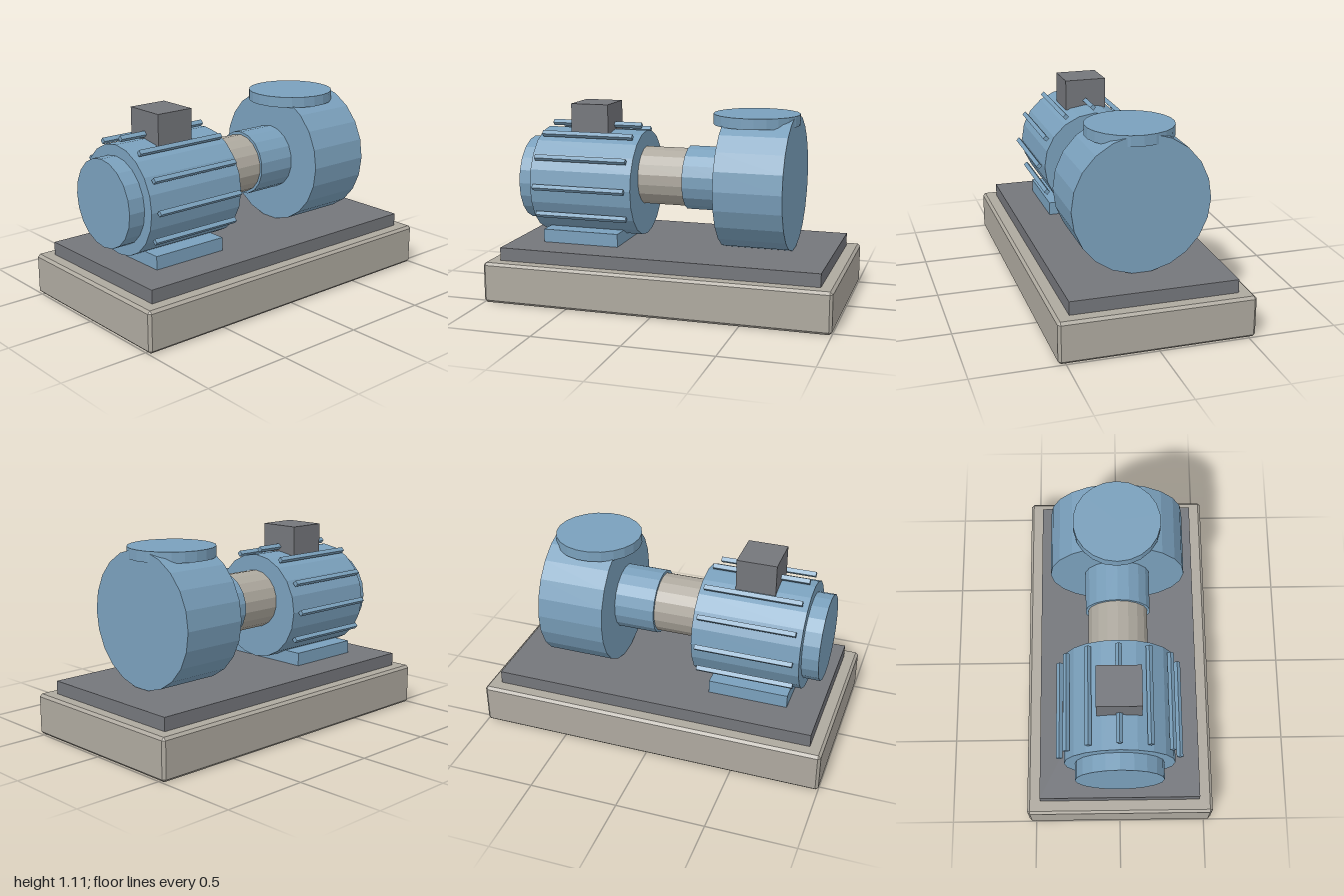
import * as THREE from 'three';
import { ConvexGeometry } from 'three/addons/geometries/ConvexGeometry.js';

export function createModel() {
  const model = new THREE.Group();
  model.name = 'pumpSet';

  const material = (name, color) => {
    const m = new THREE.MeshStandardMaterial({ color, flatShading: true });
    m.name = name;
    return m;
  };
  const blue = material('machineBlue', 0x7aa0bc);
  const grey = material('steelGrey', 0x74767b);
  const beige = material('concreteBeige', 0xaea99f);

  const add = (name, geometry, mat) => {
    const mesh = new THREE.Mesh(geometry, mat);
    mesh.name = name;
    model.add(mesh);
    return mesh;
  };

  // Box spanning y0..y1 and z0..z1, centred on x = 0
  const box = (name, halfX, y0, y1, z0, z1, mat) =>
    add(name, new THREE.BoxGeometry(halfX * 2, y1 - y0, z1 - z0)
      .translate(0, (y0 + y1) / 2, (z0 + z1) / 2), mat);

  // Cylinder lying along z; turn spins it about its own axis
  const drum = (name, r, x, y, z0, z1, sides, mat, turn = 0) =>
    add(name, new THREE.CylinderGeometry(r, r, z1 - z0, sides)
      .rotateX(Math.PI / 2).rotateZ(turn)
      .translate(x, y, (z0 + z1) / 2), mat);

  // Plinth with every edge chamfered
  const half = [0.54, 0.1175, 1];
  const chamfer = 0.015;
  const corners = [];
  for (const sx of [-1, 1]) for (const sy of [-1, 1]) for (const sz of [-1, 1]) {
    for (let axis = 0; axis < 3; axis++) {
      const p = half.map((h, i) => (i === axis ? h : h - chamfer));
      corners.push(new THREE.Vector3(sx * p[0], sy * p[1] + half[1], sz * p[2]));
    }
  }
  add('plinth', new ConvexGeometry(corners), beige);
  box('basePlate', 0.463, 0.235, 0.31, -0.925, 0.925, grey);

  // Motor
  const motorY = 0.648;
  box('motorFoot', 0.26, 0.31, 0.386, 0.285, 0.74, blue);
  drum('motorBody', 0.307, 0, motorY, 0.19, 0.8, 20, blue);
  drum('fanCover', 0.246, 0, motorY, 0.8, 0.895, 20, blue);
  box('terminalBox', 0.122, 0.93, 1.11, 0.385, 0.61, grey);

  // Cooling fins around the motor, leaving the underside clear
  for (let i = -4; i <= 4; i++) {
    const a = i * Math.PI / 6;
    drum('coolingFin', 0.018, 0.333 * Math.sin(a), motorY + 0.333 * Math.cos(a), 0.22, 0.77, 4, blue);
  }

  // Coupling and pump
  const pumpY = 0.694;
  drum('couplingGuard', 0.169, 0, pumpY, -0.075, 0.19, 18, beige);
  drum('pumpNeck', 0.185, 0, pumpY, -0.308, -0.075, 18, blue);
  drum('pumpCasing', 0.385, 0, pumpY, -0.692, -0.308, 22, blue, Math.PI / 2);
  add('outletFlange', new THREE.CylinderGeometry(0.245, 0.245, 0.06, 22)
    .translate(0, 1.049, -0.464), blue);

  return model;
}
